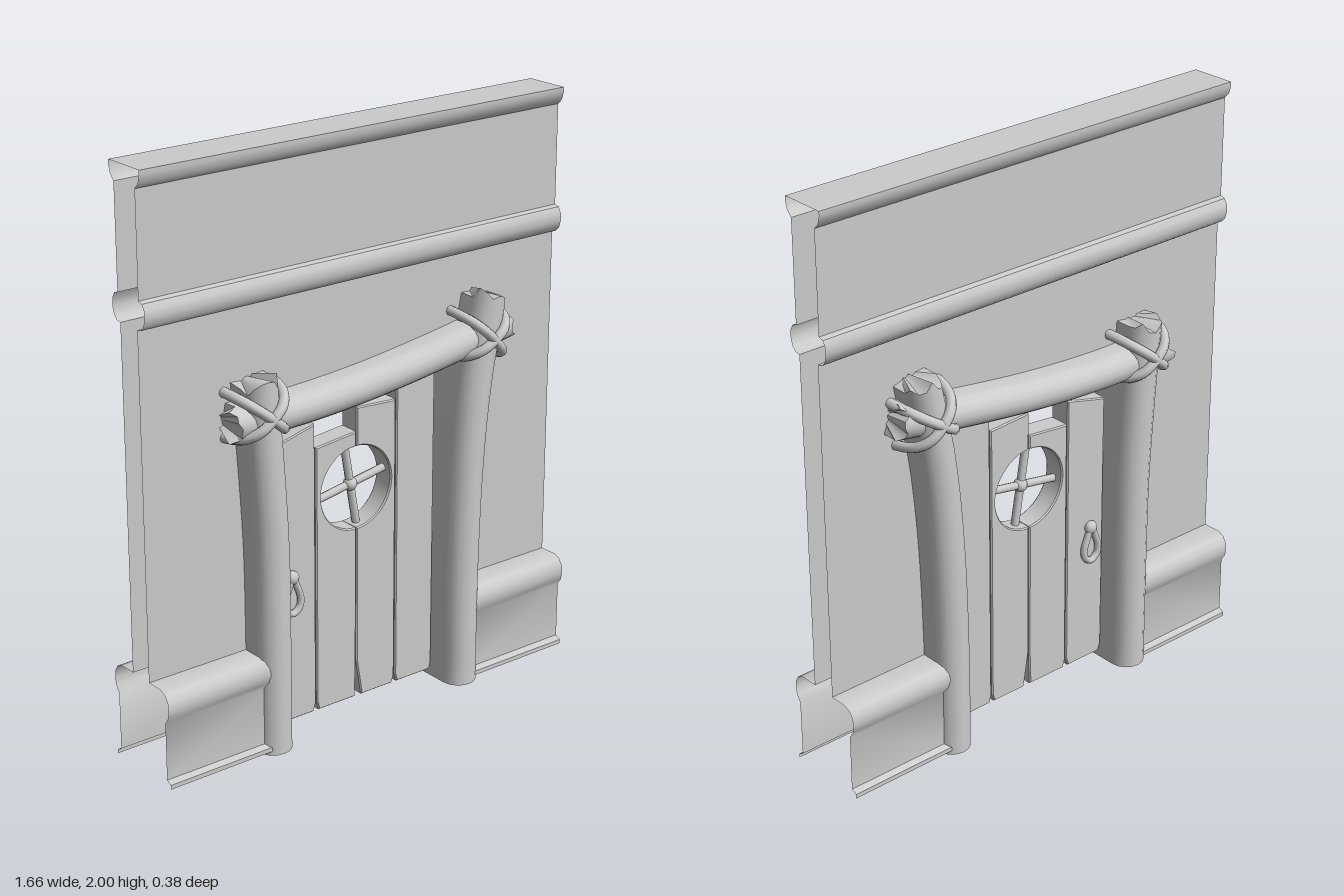
import * as THREE from 'three';
import { toCreasedNormals } from 'three/addons/utils/BufferGeometryUtils.js';

const grey = new THREE.MeshStandardMaterial({ color: 0xcccccc, side: THREE.DoubleSide });
const HALF = 0.83;
const V = (x, y, z = 0) => new THREE.Vector3(x, y, z);

function add(parent, name, geometry) {
  const mesh = new THREE.Mesh(geometry, grey);
  mesh.name = name;
  parent.add(mesh);
  return mesh;
}

function build(positions, index) {
  const g = new THREE.BufferGeometry();
  g.setAttribute('position', new THREE.Float32BufferAttribute(positions, 3));
  g.setIndex(index);
  return toCreasedNormals(g, 0.75);
}

// Sheet made by drawing a [z, y] profile along x; side is +1 front, -1 back
function moulding(profile, x0, x1, side) {
  const pos = [], idx = [];
  profile.forEach(([z, y], i) => {
    pos.push(x0, y, z * side, x1, y, z * side);
    if (i === 0) return;
    const a = 2 * i - 2, b = a + 1, c = a + 2, d = a + 3;
    if (side > 0) idx.push(a, c, b, b, c, d);
    else idx.push(a, b, c, b, d, c);
  });
  return build(pos, idx);
}

// Flattened log: stadium section swept along a path, with ragged ends
function log(points, w, depth, ragStart, ragEnd, seed) {
  const curve = new THREE.CatmullRomCurve3(points.map(p => V(...p)));
  const rings = 16, arc = 8, n = 2 * (arc + 1);
  const rand = () => (seed = (seed * 16807) % 2147483647) / 2147483647;
  const pos = [], idx = [];
  for (let i = 0; i <= rings; i++) {
    const p = curve.getPointAt(i / rings), t = curve.getTangentAt(i / rings);
    const rag = i === 0 ? -ragStart : i === rings ? ragEnd : 0;
    for (let j = 0; j < n; j++) {
      const front = j <= arc;
      const a = (front ? j : j - 1) * Math.PI / arc;
      const u = w * Math.cos(a);
      const z = w * Math.sin(a) + (front ? 1 : -1) * (depth - w);
      const s = rag * (rand() - 0.5);
      pos.push(p.x + t.y * u + t.x * s, p.y - t.x * u + t.y * s, z);
    }
  }
  for (let i = 0; i < rings; i++) for (let j = 0; j < n; j++) {
    const a = i * n + j, b = i * n + (j + 1) % n;
    idx.push(a, a + n, b, b, a + n, b + n);
  }
  // end caps
  [0, rings].forEach(r => {
    const p = curve.getPointAt(r / rings), c = pos.length / 3;
    pos.push(p.x, p.y, 0);
    for (let j = 0; j < n; j++) {
      const a = r * n + j, b = r * n + (j + 1) % n;
      if (r) idx.push(c, b, a); else idx.push(c, a, b);
    }
  });
  return build(pos, idx);
}

function createWall(model) {
  const wall = new THREE.Group();
  wall.name = 'wall';
  model.add(wall);
  const upper = [[0, 2], [0.08, 2], [0.08, 1.985], [0.072, 1.958], [0.055, 1.94], [0.055, 1.6],
    [0.073, 1.595], [0.084, 1.575], [0.085, 1.55], [0.078, 1.525], [0.063, 1.51], [0.045, 1.508]];
  const base = [[0.045, 0.347], [0.11, 0.347], [0.133, 0.337], [0.147, 0.315], [0.15, 0.29],
    [0.145, 0.262], [0.13, 0.24], [0.13, 0.04], [0.15, 0.03], [0.15, 0.015]];
  // wall panel with the doorway cut out behind the posts and lintel
  const panel = new THREE.Shape([
    [-HALF, 0.347], [-0.4, 0.347], [-0.4, 0.7], [-0.425, 1.15], [0, 1.165], [0.46, 1.225],
    [0.41, 0.8], [0.395, 0.347], [HALF, 0.347], [HALF, 1.508], [-HALF, 1.508],
  ].map(p => new THREE.Vector2(...p)));
  for (const side of [1, -1]) {
    const label = side > 0 ? 'front' : 'back';
    add(wall, label + 'Cornice', moulding(upper, -HALF, HALF, side));
    add(wall, label + 'BaseboardLeft', moulding(base, 0.425, HALF, side));
    add(wall, label + 'BaseboardRight', moulding(base, -HALF, -0.425, side));
    const g = new THREE.ShapeGeometry(panel);
    if (side < 0) g.scale(-1, 1, 1).rotateY(Math.PI).setIndex([...g.index.array].reverse());
    if (side < 0) g.computeVertexNormals();
    add(wall, label + 'Panel', g.translate(0, 0, 0.045 * side));
  }
}

function createFrame(model) {
  const frame = new THREE.Group();
  frame.name = 'doorFrame';
  model.add(frame);
  add(frame, 'rightPost', log([[-0.395, 0], [-0.395, 0.35], [-0.398, 0.7], [-0.415, 1.0], [-0.437, 1.27]],
    0.062, 0.165, 0, 0.05, 11));
  add(frame, 'leftPost', log([[0.395, 0], [0.395, 0.35], [0.41, 0.78], [0.44, 1.08], [0.495, 1.365]],
    0.062, 0.165, 0, 0.06, 29));
  add(frame, 'lintel', log([[-0.535, 1.15], [-0.3, 1.146], [0, 1.165], [0.33, 1.208], [0.575, 1.25]],
    0.056, 0.147, 0.04, 0.04, 53));

  // crossed rope lashings around each joint
  const loop = [[0, 0.175], [0.05, 0.168], [0.09, 0.135], [0.117, 0.06], [0.117, -0.06],
    [0.09, -0.135], [0.05, -0.168], [0, -0.175], [-0.05, -0.168], [-0.09, -0.135],
    [-0.117, -0.06], [-0.117, 0.06], [-0.09, 0.135], [-0.05, 0.168]];
  for (const [name, x, y, tilt] of [['right', -0.432, 1.168, 0], ['left', 0.468, 1.232, -0.12]]) {
    for (const angle of [0.68, -0.68]) {
      const a = angle + tilt;
      const path = loop.map(([u, z]) => V(u * Math.cos(a), u * Math.sin(a), z));
      const tube = new THREE.TubeGeometry(new THREE.CatmullRomCurve3(path, true), 56, 0.017, 8, true);
      add(frame, name + 'Rope', tube).position.set(x, y, 0);
    }
  }
}

function createDoor(model) {
  const door = new THREE.Group();
  door.name = 'door';
  model.add(door);
  const cy = 0.79, r = 0.143, q = Math.PI / 2;
  // each plank runs up the right edge and down the left; window bows -1 left, +1 right
  const planks = [
    { right: [[-0.18, 0.03], [-0.169, 0.06], [-0.169, 1.052]], left: [[-0.332, 1.012], [-0.332, 0.06], [-0.322, 0.03]] },
    { right: [[-0.005, 0.03], [-0.001, 0.16]], left: [[-0.001, 0.985], [-0.166, 0.968], [-0.166, 0.06], [-0.158, 0.03]], window: -1 },
    { right: [[0.155, 0.03], [0.164, 0.06], [0.164, 1.058], [0.001, 1.068]], left: [[0.001, 0.16], [0.022, 0.03]], window: 1 },
    { right: [[0.322, 0.03], [0.328, 0.06], [0.328, 1.135], [0.167, 1.1]], left: [[0.167, 0.06], [0.175, 0.03]] },
  ];
  for (const { right, left, window } of planks) {
    const s = new THREE.Shape();
    right.forEach(([x, y], i) => (i ? s.lineTo(x, y) : s.moveTo(x, y)));
    if (window) s.absarc(window * 0.001, cy, r, -window * -q, window * -q, true);
    left.forEach(([x, y]) => s.lineTo(x, y));
    const g = new THREE.ExtrudeGeometry(s, { depth: 0.07, curveSegments: 20, bevelThickness: 0.005,
      bevelSize: 0.004, bevelOffset: -0.004, bevelSegments: 1 });
    add(door, 'plank', g.translate(0, 0, -0.035));
  }

  // window cross bars, slightly turned, with a round boss
  for (const a of [0.17, 0.17 + q]) {
    const bar = add(door, 'windowBar', new THREE.CylinderGeometry(0.014, 0.014, 0.292, 8));
    bar.position.set(0.004, cy, 0);
    bar.rotation.z = a;
  }
  add(door, 'windowBoss', new THREE.SphereGeometry(0.024, 12, 8)).position.set(0.004, cy, 0);

  // teardrop pull on both faces
  const drop = [[0, 0.06], [0.016, 0.025], [0.031, -0.02], [0.026, -0.052], [0, -0.07],
    [-0.026, -0.052], [-0.031, -0.02], [-0.016, 0.025]];
  for (const side of [1, -1]) {
    const path = new THREE.CatmullRomCurve3(drop.map(([x, y]) => V(x, y)), true);
    add(door, 'handleRing', new THREE.TubeGeometry(path, 40, 0.012, 8, true)).position.set(-0.27, 0.49, side * 0.05);
    const knob = add(door, 'handleKnob', new THREE.SphereGeometry(0.024, 12, 8));
    knob.position.set(-0.27, 0.547, side * 0.048);
    knob.scale.z = 0.8;
  }
}

export function createModel() {
  const model = new THREE.Group();
  model.name = 'doorway';
  createWall(model);
  createFrame(model);
  createDoor(model);
  return model;
}
